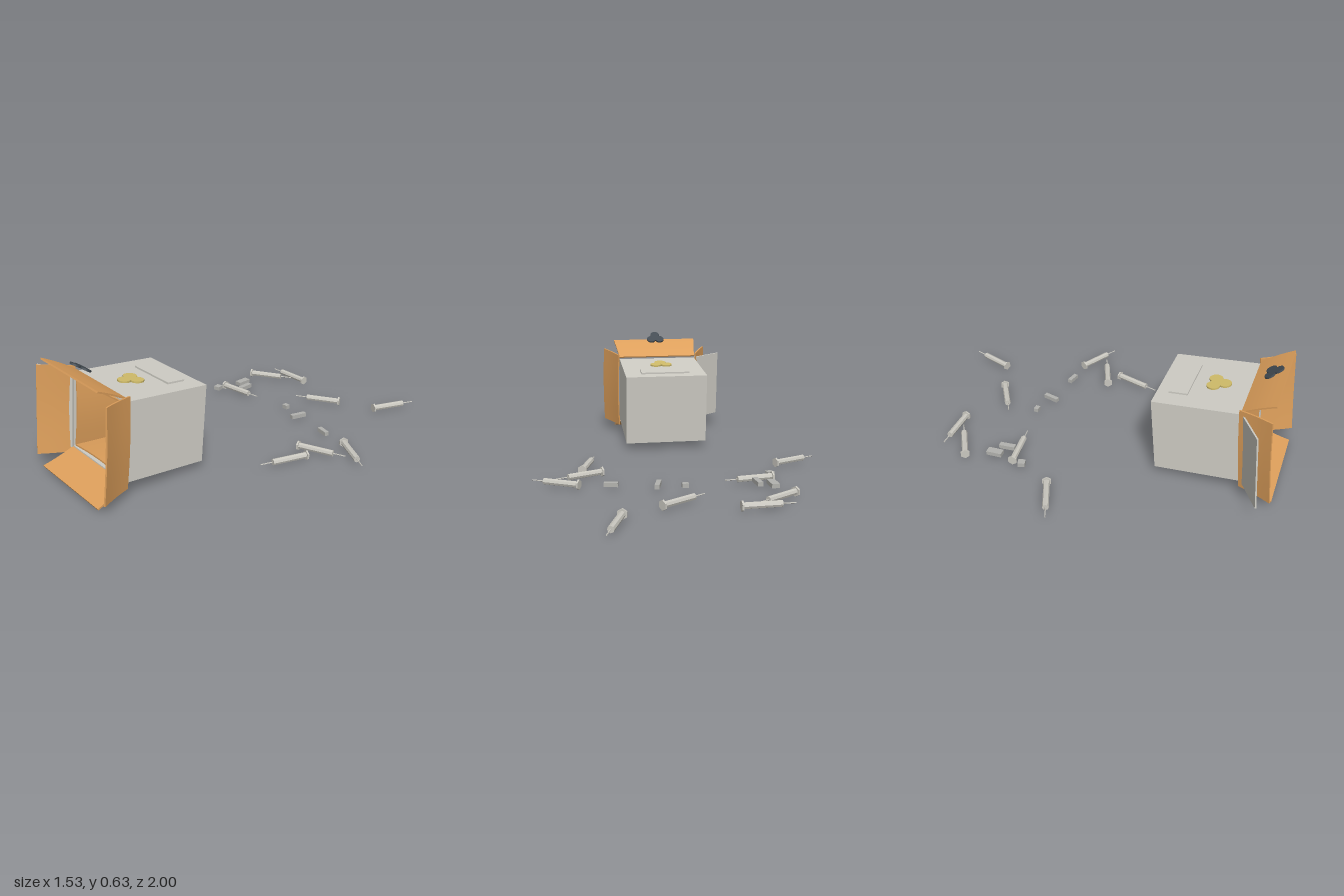
import * as THREE from 'three';

const mat = (name, color) => {
  const m = new THREE.MeshStandardMaterial({ color });
  m.name = name;
  return m;
};

export function createModel() {
  const caseGrey = mat('case grey', 0xcfcdc5);
  const cardboard = mat('cardboard', 0xdd9f5b);
  const gold = mat('gold', 0xd0bc6a);
  const dark = mat('dark slate', 0x434b52);
  const steel = mat('syringe grey', 0xc9c7bf);
  const rubble = mat('fragment grey', 0xb2b2ae);

  const model = new THREE.Group();
  const add = (parent, name, geo, material, x = 0, y = 0, z = 0) => {
    const m = new THREE.Mesh(geo, material);
    m.name = name;
    m.position.set(x, y, z);
    parent.add(m);
    return m;
  };

  // Cardboard sheet reaching from z = 0 to z = l, widened by taper at the far edge, bowed in y
  const sheet = (w, l, taper, bowX, bowZ) => {
    const g = new THREE.BoxGeometry(w, 0.008, l, 8, 1, 5);
    g.translate(0, 0, l / 2);
    const p = g.attributes.position;
    for (let i = 0; i < p.count; i++) {
      const x = p.getX(i), z = p.getZ(i), t = z / l;
      p.setY(i, p.getY(i) + bowX * Math.cos((Math.PI * x) / w) + bowZ * Math.sin(Math.PI * t));
      p.setX(i, x * (1 + taper * t));
    }
    g.computeVertexNormals();
    return g;
  };

  // Tilted container
  const box = new THREE.Group();
  box.name = 'container';
  box.position.set(0, 0.26, 0.5925);
  box.rotation.x = -0.09;
  model.add(box);

  // Outer case: hollow frame with a closed back
  const frame = new THREE.Shape([[-0.235, -0.2], [0.235, -0.2], [0.235, 0.2], [-0.235, 0.2]]
    .map(([x, y]) => new THREE.Vector2(x, y)));
  frame.holes.push(new THREE.Path([[-0.228, -0.193], [-0.228, 0.193], [0.228, 0.193], [0.228, -0.193]]
    .map(([x, y]) => new THREE.Vector2(x, y))));
  add(box, 'caseWalls', new THREE.ExtrudeGeometry(frame, { depth: 0.44, bevelEnabled: false }), caseGrey, 0, 0, -0.215);
  add(box, 'caseBack', new THREE.BoxGeometry(0.47, 0.4, 0.01), caseGrey, 0, 0, -0.22);
  const door = new THREE.Group();
  door.name = 'caseDoor';
  door.position.set(-0.238, 0, 0.225);
  door.rotation.y = -1.02;
  box.add(door);
  add(door, 'doorPanel', new THREE.BoxGeometry(0.008, 0.405, 0.2), caseGrey, 0, 0, 0.1);

  // Cardboard liner: four bowed walls and a back
  for (let k = 0; k < 4; k++) {
    const upright = k % 2 === 1;
    const w = upright ? 0.37 : 0.44, out = upright ? 0.22 : 0.186;
    const a = (k * Math.PI) / 2;
    const wall = add(box, 'linerWall', sheet(w, 0.43, 0, -0.012, 0), cardboard,
      -Math.sin(a) * out, Math.cos(a) * out, -0.21);
    wall.rotation.z = a;
  }
  add(box, 'linerBack', new THREE.BoxGeometry(0.44, 0.372, 0.008), cardboard, 0, 0, -0.205);

  // Open flaps
  const topFlap = add(box, 'topFlap', sheet(0.47, 0.18, 0.1, 0, 0.004), cardboard, 0, 0.212, 0.22);
  topFlap.rotation.x = -0.41;
  const bottomFlap = add(box, 'bottomFlap', sheet(0.48, 0.172, 0.08, 0, -0.004), cardboard, 0, -0.202, 0.222);
  bottomFlap.rotation.x = 0.46;
  for (const s of [-1, 1]) {
    const hinge = new THREE.Group();
    hinge.name = s > 0 ? 'leftFlap' : 'rightFlap';
    hinge.position.set(s * 0.24, 0, 0.212);
    hinge.rotation.y = s * 0.44;
    box.add(hinge);
    add(hinge, 'flapSheet', sheet(0.455, 0.185, 0.03, -s * 0.006, s * 0.004), cardboard).rotation.z = Math.PI / 2;
  }

  // Raised label and three-lobed badges
  add(box, 'labelPlate', new THREE.BoxGeometry(0.28, 0.009, 0.096), caseGrey, 0, 0.2045, -0.115);
  const badge = (name, r, material, y, z, tilt) => {
    const g = new THREE.Group();
    g.name = name;
    g.position.set(0, y, z);
    g.rotation.x = tilt;
    box.add(g);
    for (const [x, dz] of [[-1, -0.6], [1, -0.6], [0, 0.9]]) {
      add(g, 'lobe', new THREE.CylinderGeometry(r, r, 0.009, 20), material, x * r * 0.92, 0, dz * r);
    }
    add(g, 'badgeCore', new THREE.CylinderGeometry(r * 0.5, r * 0.5, 0.0086, 12), material, 0, 0, -r * 0.15);
  };
  badge('goldBadge', 0.034, gold, 0.2055, 0.055, 0);
  badge('darkBadge', 0.0275, dark, 0.311, 0.323, -0.48);

  // Scattered syringes: flange end x, z and needle tip x, z
  const syringes = [
    [-0.18, -0.742, -0.445, -0.735], [-0.49, -0.577, -0.27, -0.71], [-0.447, -0.323, -0.196, -0.357],
    [-0.525, -0.09, -0.762, 0.008], [0.172, -0.68, -0.048, -0.545], [0.358, -0.758, 0.444, -1.0],
    [0.532, -0.318, 0.762, -0.2], [0.405, -0.11, 0.64, -0.206], [0.51, -0.073, 0.437, 0.173],
  ];
  // Cylinder laid along z, starting at z0
  const rod = (r, len, z0, sides) =>
    new THREE.CylinderGeometry(r, r, len, sides).rotateX(Math.PI / 2).translate(0, 0, z0 + len / 2).toNonIndexed();
  const flat = (g) => { g.computeVertexNormals(); return g; };
  const flange = flat(rod(0.026, 0.009, 0, 6));
  const barrel = flat(rod(0.0165, 0.185, 0.009, 8));
  const needle = flat(rod(0.003, 0.07, 0.19, 5));
  for (const [x, z, tx, tz] of syringes) {
    const s = new THREE.Group();
    s.name = 'syringe';
    s.position.set(x, 0.028, z);
    s.rotation.y = Math.atan2(tx - x, tz - z);
    model.add(s);
    add(s, 'flange', flange, steel);
    add(s, 'barrel', barrel, steel);
    add(s, 'needle', needle, steel);
  }

  // Loose fragments: x, z, width, depth, turn
  const fragments = [
    [-0.415, -0.44, 0.04, 0.083, 0.06], [-0.347, -0.4, 0.028, 0.086, 0.1], [-0.445, -0.27, 0.036, 0.038, 0.3],
    [0.018, -0.397, 0.033, 0.026, 0], [0.149, -0.365, 0.024, 0.088, -0.25], [0.378, -0.327, 0.07, 0.024, -0.2],
  ];
  for (const [x, z, w, d, turn] of fragments) {
    add(model, 'fragment', new THREE.BoxGeometry(w, 0.022, d), rubble, x, 0.026, z).rotation.y = turn;
  }
  return model;
}
